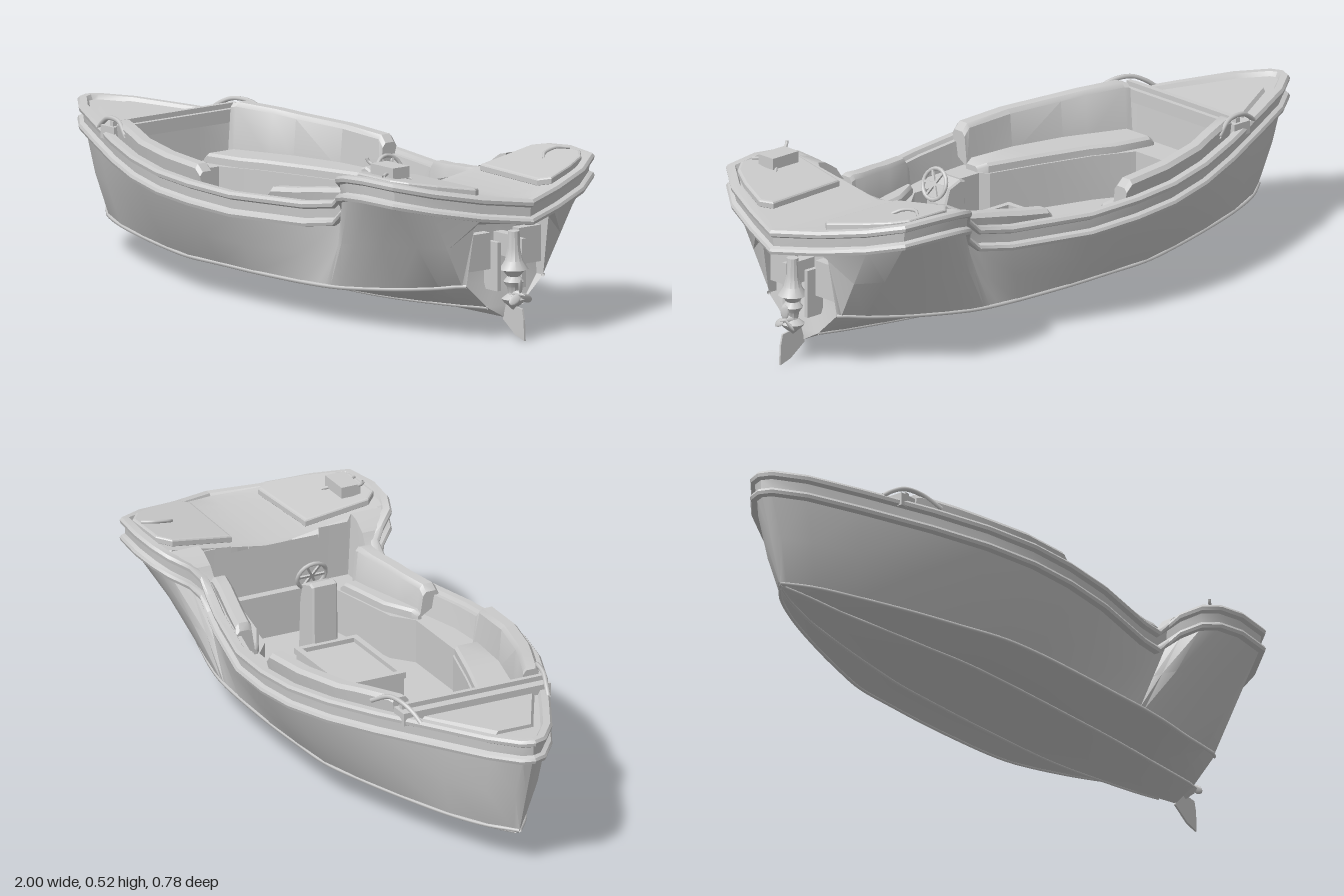
import * as THREE from 'three';
import { toCreasedNormals } from 'three/addons/utils/BufferGeometryUtils.js';

const grey = new THREE.MeshStandardMaterial({ color: 0xcccccc, side: THREE.DoubleSide });
const lerp = THREE.MathUtils.lerp;

// Stations bow to stern: rim x, z, y, then chine x, z, y, then keel y
const stations = [
  [-1, 0, .415, -.9, 0, .1, .095], [-.985, .04, .414, -.885, .012, .1, .088],
  [-.9, .105, .41, -.82, .06, .098, .075], [-.75, .18, .4, -.7, .115, .095, .058],
  [-.55, .275, .385, -.53, .175, .095, .052], [-.38, .342, .372, -.36, .225, .095, .05],
  [-.22, .381, .361, -.22, .26, .097, .05], [-.07, .39, .353, -.07, .27, .1, .05],
  [.1, .378, .345, .09, .272, .1, .05], [.35, .315, .348, .29, .267, .102, .05],
  [.45, .288, .362, .36, .264, .104, .05], [.49, .286, .4, .39, .262, .105, .05],
  [.51, .31, .43, .41, .26, .106, .05], [.55, .358, .456, .45, .255, .108, .05],
  [.61, .38, .47, .53, .24, .115, .05], [.7, .386, .477, .65, .21, .127, .052],
  [.82, .369, .474, .79, .173, .147, .054], [.89, .275, .453, .86, .148, .16, .055],
  [.945, .14, .428, .87, .14, .16, .055], [1, 0, .412, .87, 0, .16, .055],
];

// Linear lookup of column c in a table keyed by its first column
function lookup(table, x, c) {
  let i = 1;
  while (i < table.length - 1 && table[i][0] < x) i++;
  const a = table[i - 1], b = table[i];
  return lerp(a[c], b[c], THREE.MathUtils.clamp((x - a[0]) / (b[0] - a[0]), 0, 1));
}
const rimZ = x => lookup(stations, x, 1);
const rimY = x => lookup(stations, x, 2);
const platformY = z => .405 + .06 * Math.abs(z) / .38;

// Skin over rows of [x, y, z] points
function loft(rows, closed = false, crease = .6) {
  const n = rows[0].length, index = [];
  for (let r = 0; r < rows.length - 1; r++)
    for (let k = 0; k < (closed ? n : n - 1); k++) {
      const a = r * n + k, b = r * n + (k + 1) % n;
      index.push(a, a + n, b, b, a + n, b + n);
    }
  const g = new THREE.BufferGeometry();
  g.setAttribute('position', new THREE.Float32BufferAttribute(rows.flat(2), 3));
  g.setIndex(index);
  g.computeVertexNormals();
  return toCreasedNormals(g, crease);
}

// Closed ring sections with collapsed ends
function solidLoft(rows) {
  const cap = row => {
    const c = [0, 1, 2].map(i => row.reduce((s, p) => s + p[i], 0) / row.length);
    return row.map(() => c);
  };
  return loft([cap(rows[0]), ...rows, cap(rows.at(-1))], true);
}

export function createModel() {
  const boat = new THREE.Group();
  boat.name = 'boat';
  const add = (name, geometry, x = 0, y = 0, z = 0) => {
    const m = new THREE.Mesh(geometry, grey);
    m.name = name;
    m.position.set(x, y, z);
    boat.add(m);
    return m;
  };
  const pair = (name, geometry) => {
    add(name + 'Left', geometry);
    add(name + 'Right', geometry).scale.z = -1;
  };
  const box = (name, x0, x1, y0, y1, z0, z1) =>
    add(name, new THREE.BoxGeometry(x1 - x0, y1 - y0, z1 - z0), (x0 + x1) / 2, (y0 + y1) / 2, (z0 + z1) / 2);
  const tube = (pts, r, seg = 32) => new THREE.TubeGeometry(
    new THREE.CatmullRomCurve3(pts.map(p => new THREE.Vector3(...p)), false, 'centripetal'), seg, r, 6);
  const shape = pts => new THREE.Shape(pts.map(q => new THREE.Vector2(...q)));

  // Inward direction of the rim at every station
  const last = stations.length - 1;
  const inward = stations.map((s, i) => {
    const a = i ? stations[i - 1] : [stations[1][0], -stations[1][1]];
    const b = i < last ? stations[i + 1] : [stations[last - 1][0], -stations[last - 1][1]];
    const dx = b[0] - a[0], dz = b[1] - a[1], l = Math.hypot(dx, dz);
    return [dz / l, -dx / l];
  });
  const rimPoint = (i, d, dy) => {
    const s = stations[i], n = inward[i];
    const end = i === 0 || i === last;
    return [s[0] + n[0] * d, s[2] + dy, end ? 0 : Math.max(.002, s[1] + n[1] * d)];
  };

  // Hull skin with chine, strake, keel and transom
  const hullRows = stations.map((s, i) => {
    const rim = rimPoint(i, .02, -.07), chine = [s[3], s[5], s[4]];
    let mid = rim.map((v, k) => lerp(v, chine[k], .5));
    mid[2] += i > 0 && i < 10 ? .008 : 0;
    if (i >= last - 1) mid = [.9, .333, i === last ? 0 : .135];
    return [rim, mid, chine, [s[3], lerp(s[6], s[5], .33), s[4] * .45], [s[3], s[6], 0]];
  });
  // Drive well set into the transom
  const setBack = row => row.map((p, k) => (k === 1 || k === 2 ? [.84, p[1], p[2]] : p));
  const skin = [...hullRows.slice(0, last), setBack(hullRows[last - 1]), setBack(hullRows[last])];
  pair('hull', loft(skin, false, .5));
  pair('chineRail', tube(hullRows.slice(0, last).map(r => r[2]), .006, 60));
  pair('bottomStrake', tube(hullRows.slice(1, last).map(r => r[3]), .005, 60));

  // Gunwale with upper cap and lower rubbing rail
  const band = [[.02, -.075], [.003, -.072], [0, -.063], [.004, -.055], [.016, -.05], [.014, -.024],
    [.002, -.018], [0, -.008], [.006, 0], [.026, 0], [.034, -.014]];
  pair('gunwale', loft(stations.map((s, i) => band.map(([d, dy]) => rimPoint(i, d, dy)))));

  // Foredeck and raised triangular hatch
  const deckRow = (x, w, y) => [-1, -.5, 0, .5, 1].map(f => [x, y(f * w), f * w]);
  add('foredeck', loft([-.975, -.9, -.75, -.6].map(x => deckRow(x, rimZ(x) - .02, () => rimY(x) - .012))));
  const hatchRow = (x, w) => {
    const y = rimY(x) - .012;
    return [[x, y, -w], [x, y + .01, -w + .008], [x, y + .01, w - .008], [x, y, w]];
  };
  add('foredeckHatch', solidLoft([hatchRow(-.87, .06), hatchRow(-.75, .125), hatchRow(-.65, .18)]));

  // Cockpit liner: side walls, benches and sunken floor
  const floorEdge = [[-.5, .08], [-.35, .15], [-.07, .225], [-.05, .25], [.2, .25], [.26, .2], [.55, .14]];
  const benchY = .27, floorY = .14;
  const cockpitZ = x => Math.min(rimZ(x) - .045, x > .45 ? .243 : 1);
  const linerRow = (x, bench, floor) => {
    const c = cockpitZ(x), f = lookup(floorEdge, x, 1), y = rimY(x) - .01;
    return [[x, y, rimZ(x) - .025], [x, y, c], [x, bench, c - .012], [x, bench, f], [x, floor, f], [x, floor, 0]];
  };
  pair('cockpitLiner', loft([
    linerRow(-.6, rimY(-.6) - .012, rimY(-.6) - .012),
    linerRow(-.595, benchY, benchY), linerRow(-.5, benchY, benchY),
    ...[-.5, -.38, -.22, -.07, -.05, .1, .2, .26, .35, .45, .49, .51, .55].map(x => linerRow(x, benchY, floorY)),
    linerRow(.55, benchY, benchY), linerRow(.575, benchY, benchY), linerRow(.58, .43, .41),
  ], false, .4));

  // Backrests and seat pads along both sides
  const cushions = [['forward', [-.575, -.56, -.45, -.38, -.22, -.07, -.05], .44, .388],
    ['aft', [.2, .215, .3, .35, .42, .47, .485], .362, .405]];
  for (const [name, xs, y0, y1] of cushions) {
    const lift = i => (i === 0 || i === xs.length - 1 ? .012 : 0);
    pair(name + 'Backrest', solidLoft(xs.map((x, i) => {
      const o = rimZ(x) - .03, t = lerp(y0, y1, i / (xs.length - 1)) - lift(i);
      return [[x, .275, o - .06], [x, t - .012, o - .05], [x, t, o - .04], [x, t, o - .01], [x, t - .012, o], [x, .3, o - .018]];
    })));
    pair(name + 'SeatPad', solidLoft(xs.map((x, i) => {
      const a = lookup(floorEdge, x, 1) + .006, b = Math.max(a + .01, rimZ(x) - .085), t = .298 - lift(i);
      return [[x, benchY, a], [x, t - .008, a], [x, t, a + .008], [x, t, b], [x, benchY, b]];
    })));
  }

  // Cross beam behind the foredeck with low grab rails
  box('foredeckBeam', -.645, -.585, .37, .408, -.235, .235);
  box('beamTrim', -.615, -.6, .406, .422, -.225, .225);
  pair('grabRail', tube([[-.69, .39, .203], [-.66, .412, .212], [-.62, .43, .225], [-.56, .43, .238], [-.5, .4, .262]], .007));

  // Engine box with framed lid
  box('engineBox', -.02, .27, floorY, .215, -.095, .095);
  for (const s of [-1, 1]) {
    box('lidSideFrame', -.025, .275, .21, .228, s * .091 - .009, s * .091 + .009);
    box('lidEndFrame', .125 + s * .141 - .009, .125 + s * .141 + .009, .21, .228, -.1, .1);
  }

  // Helm console and steering wheel
  const consoleSide = shape([[.275, .14], [.36, .14], [.35, .34], [.335, .385], [.295, .4], [.28, .395]]);
  add('helmConsole', new THREE.ExtrudeGeometry(consoleSide, { depth: .07, bevelSize: .005, bevelThickness: .005, bevelSegments: 1 }), 0, 0, -.035);
  const wheel = new THREE.Group();
  wheel.name = 'steeringWheel';
  wheel.add(new THREE.Mesh(new THREE.TorusGeometry(.045, .006, 6, 20), grey));
  for (let i = 0; i < 3; i++) {
    const spoke = new THREE.Mesh(new THREE.BoxGeometry(.088, .007, .006), grey);
    spoke.rotation.z = i * Math.PI / 3;
    wheel.add(spoke);
  }
  wheel.position.set(.358, .398, 0);
  wheel.rotation.set(0, Math.PI / 2, 0);
  wheel.rotateX(-.35);
  boat.add(wheel);

  // Stern platform and its sloping pads
  add('sternPlatform', loft([.58, .61, .7, .82, .89, .945, .985].map(x => deckRow(x, Math.max(.01, rimZ(x) - .02), platformY))));
  const padShape = shape([[.625, .125], [.615, .31], [.645, .34], [.78, .34], [.82, .31], [.86, .24], [.9, .14], [.88, .115]]);
  const pad = new THREE.ExtrudeGeometry(padShape, { depth: .014, bevelSize: .008, bevelThickness: .005, bevelSegments: 2 });
  pad.rotateX(Math.PI / 2);
  const p = pad.attributes.position;
  for (let i = 0; i < p.count; i++) p.setY(i, p.getY(i) + .015 + platformY(p.getZ(i)));
  pad.computeVertexNormals();
  pair('sternPad', pad);
  pair('padLatch', tube([[.75, .464, .24], [.73, .475, .26], [.725, .484, .31], [.745, .482, .34]], .005, 12));
  box('throttleBase', .65, .75, .47, .503, .25, .31);
  add('throttleLever', tube([[.65, .5, .305], [.64, .508, .31], [.637, .516, .312]], .005, 6));

  // Transom bracket and plates
  for (const s of [-1, 1]) {
    box('transomPlate', .835, .87, .2, .305, s * .092 - .04, s * .092 + .04);
    box('driveBracket', .835, .9, .14, .28, s * .045 - .007, s * .045 + .007);
  }
  box('driveMount', .835, .91, .235, .3, -.016, .016);

  // Drive leg, propeller and skeg
  const leg = [[0, .31], [.017, .31], [.018, .26], [.026, .225], [.042, .2], [.03, .195], [.018, .18], [.03, .165],
    [.02, .15], [.016, .13], [.035, .115], [.028, .105], [.016, .095], [0, .08]];
  add('driveLeg', toCreasedNormals(new THREE.LatheGeometry(leg.map(q => new THREE.Vector2(...q)), 12), .5), .91, 0, 0);
  const hub = add('propellerHub', new THREE.ConeGeometry(.018, .05, 10), .935, .13, 0);
  hub.rotation.z = -Math.PI / 2;
  for (let i = 0; i < 3; i++) {
    const blade = add('propellerBlade', new THREE.SphereGeometry(1, 10, 6).scale(.004, .022, .013).translate(0, .024, 0), .94, .13, 0);
    blade.rotation.set(i * Math.PI * 2 / 3, .5, 0, 'XYZ');
  }
  const skeg = shape([[.865, .05], [.88, .1], [.95, .09], [.957, .06], [.96, 0], [.92, .012]]);
  add('skeg', new THREE.ExtrudeGeometry(skeg, { depth: .006, bevelEnabled: false }), 0, 0, -.003);
  return boat;
}
